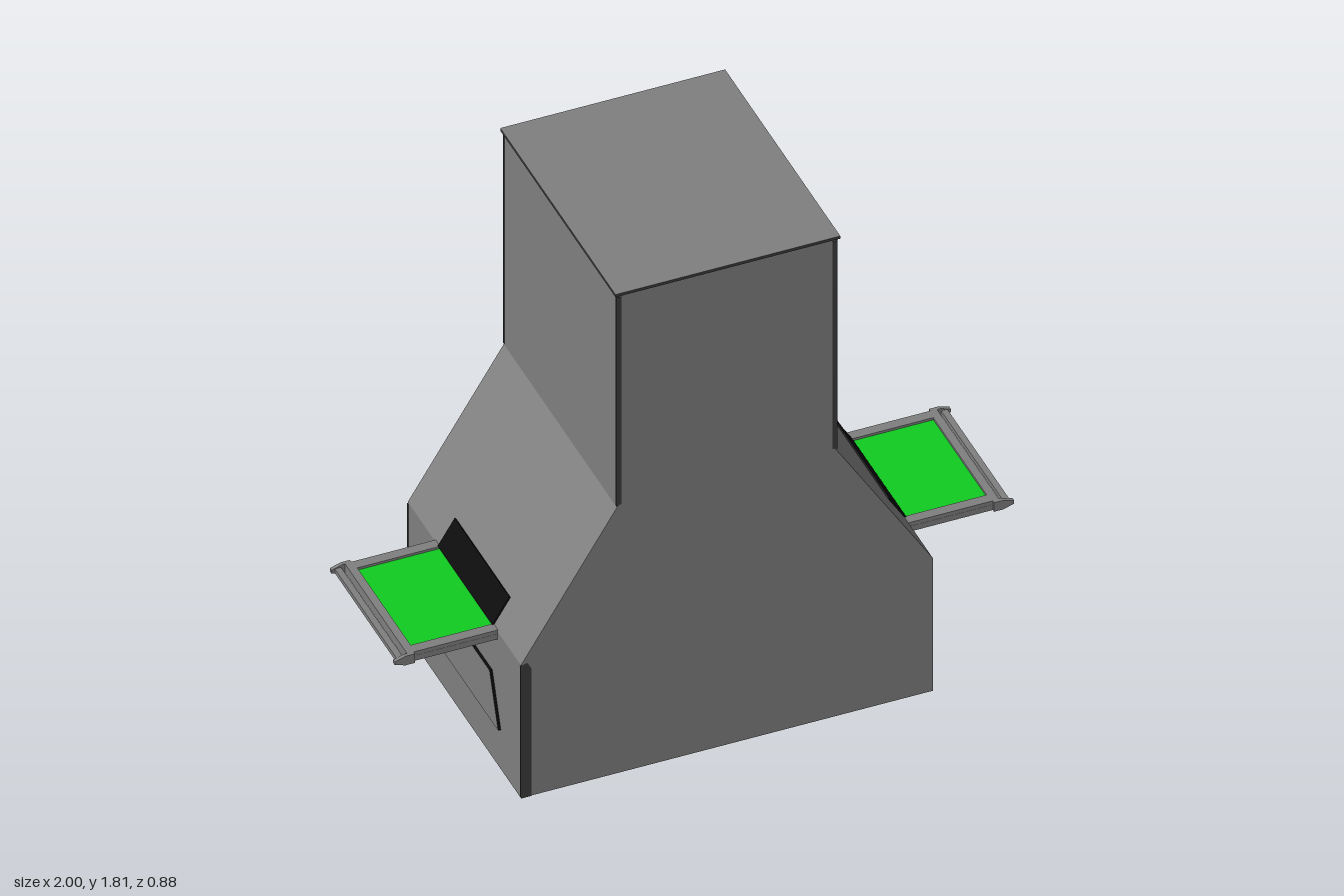
import * as THREE from 'three';

const flat = (name, color, side = THREE.FrontSide) => {
  const m = new THREE.MeshStandardMaterial({ color, side });
  m.name = name;
  return m;
};

export function createModel() {
  const grey = flat('grey metal', 0x808080, THREE.DoubleSide);
  const dark = flat('dark seam', 0x3c3c3c, THREE.DoubleSide);
  const black = flat('black', 0x0a0a0a, THREE.DoubleSide);
  const green = flat('green', 0x10cc20);
  const root = new THREE.Group();
  root.name = 'hopperBuilding';

  const add = (name, geo, mat, x = 0, y = 0, z = 0, parent = root) => {
    const m = new THREE.Mesh(geo, mat);
    m.name = name;
    m.position.set(x, y, z);
    parent.add(m);
    return m;
  };
  const box = (w, h, d) => new THREE.BoxGeometry(w, h, d);
  const polygon = (pts) => new THREE.Shape(pts.map(([x, y]) => new THREE.Vector2(x, y)));

  // Hollow shell, open underneath: two gable walls joined by side panels
  const D = 0.43;
  const outline = [[0.665, 0], [0.665, 0.5], [0.355, 1], [0.355, 1.8], [-0.355, 1.8], [-0.355, 1], [-0.665, 0.5], [-0.665, 0]];
  const gable = new THREE.ShapeGeometry(polygon(outline));
  add('frontWall', gable, grey, 0, 0, D);
  add('backWall', gable, grey, 0, 0, -D).rotation.y = Math.PI;
  const panels = [];
  for (let i = 0; i < outline.length - 1; i++) {
    const [ax, ay] = outline[i], [bx, by] = outline[i + 1];
    panels.push(ax, ay, D, ax, ay, -D, bx, by, -D, ax, ay, D, bx, by, -D, bx, by, D);
  }
  const sides = new THREE.BufferGeometry();
  sides.setAttribute('position', new THREE.Float32BufferAttribute(panels, 3));
  sides.computeVertexNormals();
  add('sideWalls', sides, grey);

  // Roof plate with a dark rim
  add('roof', box(0.726, 0.01, 0.876), [dark, dark, grey, grey, dark, dark], 0, 1.805, 0);

  // Dark seams at the wall corners
  for (const s of [-1, 1]) {
    for (const z of [-D, D]) {
      add('upperCornerSeam', box(0.008, 0.79, 0.008), dark, s * 0.353, 1.4, z * 0.993);
      if (s < 0 || z < 0) add('lowerCornerSeam', box(0.006, 0.49, 0.006), dark, s * 0.6635, 0.25, z * 0.995);
    }
    add('frontUpperSeam', box(0.013, 0.78, 0.004), dark, s * 0.347, 1.4, D);
  }
  add('frontLowerSeam', new THREE.ShapeGeometry(polygon([[-0.665, 0], [-0.632, 0], [-0.632, 0.48], [-0.645, 0.505], [-0.665, 0.5]])), dark, 0, 0, D + 0.002);

  // Trapezoid hatches: grey face, black edges, black inside
  const hatch = (name, bottom, top, height, x, y, z, angle) => {
    const g = new THREE.Group();
    g.name = name;
    g.position.set(x, y, z);
    g.rotation.y = angle;
    root.add(g);
    const shape = polygon([[-bottom, 0], [bottom, 0], [top, height], [-top, height]]);
    const plate = new THREE.ExtrudeGeometry(shape, { depth: 0.009, bevelEnabled: false });
    add('hatchPlate', plate, [grey, black], 0, 0, 0.001, g);
    add('hatchInside', new THREE.ShapeGeometry(shape), black, 0, 0, -0.004, g);
  };
  for (const s of [-1, 1]) {
    hatch('sideHatch', 0.265, 0.2, 0.18, s * 0.665, 0.15, 0.015, s * Math.PI / 2);
    hatch('backHatch', 0.178, 0.13, 0.155, s * 0.279, 0.155, -D, Math.PI);
  }

  // Side trays with a green bed, and the black slot above each
  const cz = 0.013;
  for (const s of [-1, 1]) {
    const tray = new THREE.Group();
    tray.name = s > 0 ? 'leftTray' : 'rightTray';
    root.add(tray);
    const part = (name, geo, mat, x, y, z) => add(name, geo, mat, s * x, y, cz + z, tray);
    part('trayFloor', box(0.295, 0.02, 0.475), grey, 0.8075, 0.48, 0);
    part('trayBed', box(0.272, 0.006, 0.405), green, 0.794, 0.493, 0);
    part('trayEndRim', box(0.026, 0.034, 0.475), grey, 0.943, 0.487, 0);
    part('trayBar', box(0.02, 0.016, 0.47), grey, 0.979, 0.487, 0);
    const tip = polygon([[0.935, 0.47], [0.965, 0.47], [1, 0.481], [1, 0.493], [0.965, 0.504], [0.935, 0.504]].map(([x, y]) => [s * x, y]));
    const cap = new THREE.ExtrudeGeometry(tip, { depth: 0.012, bevelEnabled: false });
    for (const e of [-1, 1]) {
      part('traySideRim', box(0.295, 0.034, 0.034), grey, 0.8075, 0.487, e * 0.22);
      add('trayEndCap', cap, grey, 0, 0, cz + e * 0.241 - 0.006, tray);
    }
    const slot = add('slot', box(0.008, 0.104, 0.415), black, s * 0.638, 0.546, cz);
    slot.rotation.z = s * Math.atan2(0.31, 0.5);
  }
  return root;
}
